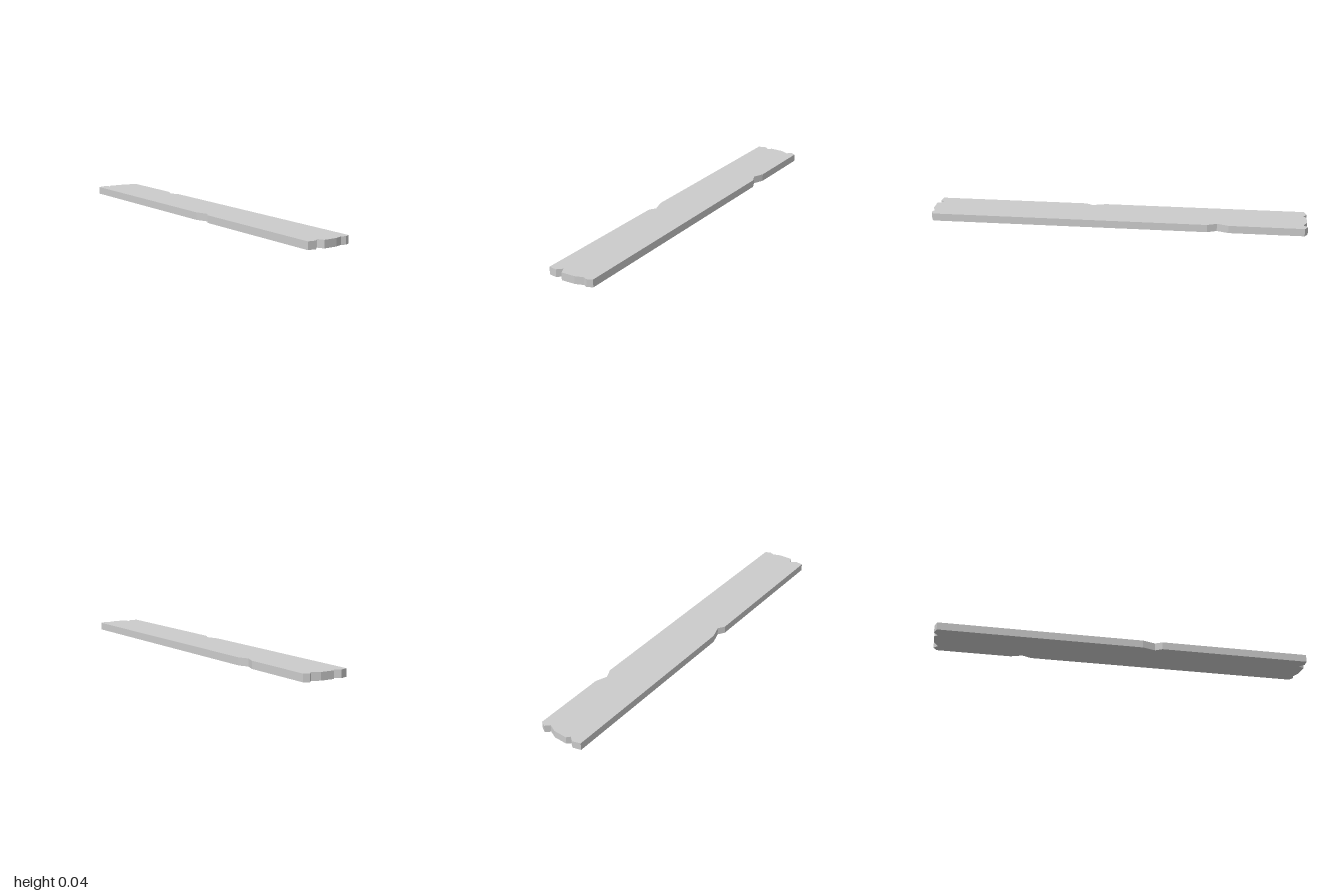
import * as THREE from 'three';

const THICKNESS = 0.04;

// Outline as [x, z], running round the board from the front left corner
const frontEnd = [
  [-0.125, 0.985], [-0.083, 0.99], [-0.057, 0.965], [-0.041, 1],
  [0.033, 0.997], [0.075, 0.982], [0.097, 0.991], [0.125, 0.977],
];
const rightNotch = [[0.125, -0.48], [0.102, -0.53], [0.125, -0.59]];
const backEnd = [
  [0.125, -0.98], [0.097, -0.997], [0.075, -0.975], [0.033, -0.995],
  [-0.041, -0.997], [-0.057, -0.98], [-0.083, -1], [-0.125, -0.988],
];
const leftNotch = [[-0.125, 0.08], [-0.103, 0.15], [-0.125, 0.185]];

export function createModel() {
  const group = new THREE.Group();
  group.name = 'woodenPlank';

  // Board with splintered ends and chipped edges, laid flat
  const outline = [...frontEnd, ...rightNotch, ...backEnd, ...leftNotch];
  const shape = new THREE.Shape(outline.map(([x, z]) => new THREE.Vector2(x, -z)));
  const geometry = new THREE.ExtrudeGeometry(shape, { depth: THICKNESS, bevelEnabled: false });
  geometry.rotateX(-Math.PI / 2);

  const material = new THREE.MeshStandardMaterial({ color: 0xcccccc, flatShading: true });
  const board = new THREE.Mesh(geometry, material);
  board.name = 'board';
  group.add(board);
  return group;
}
